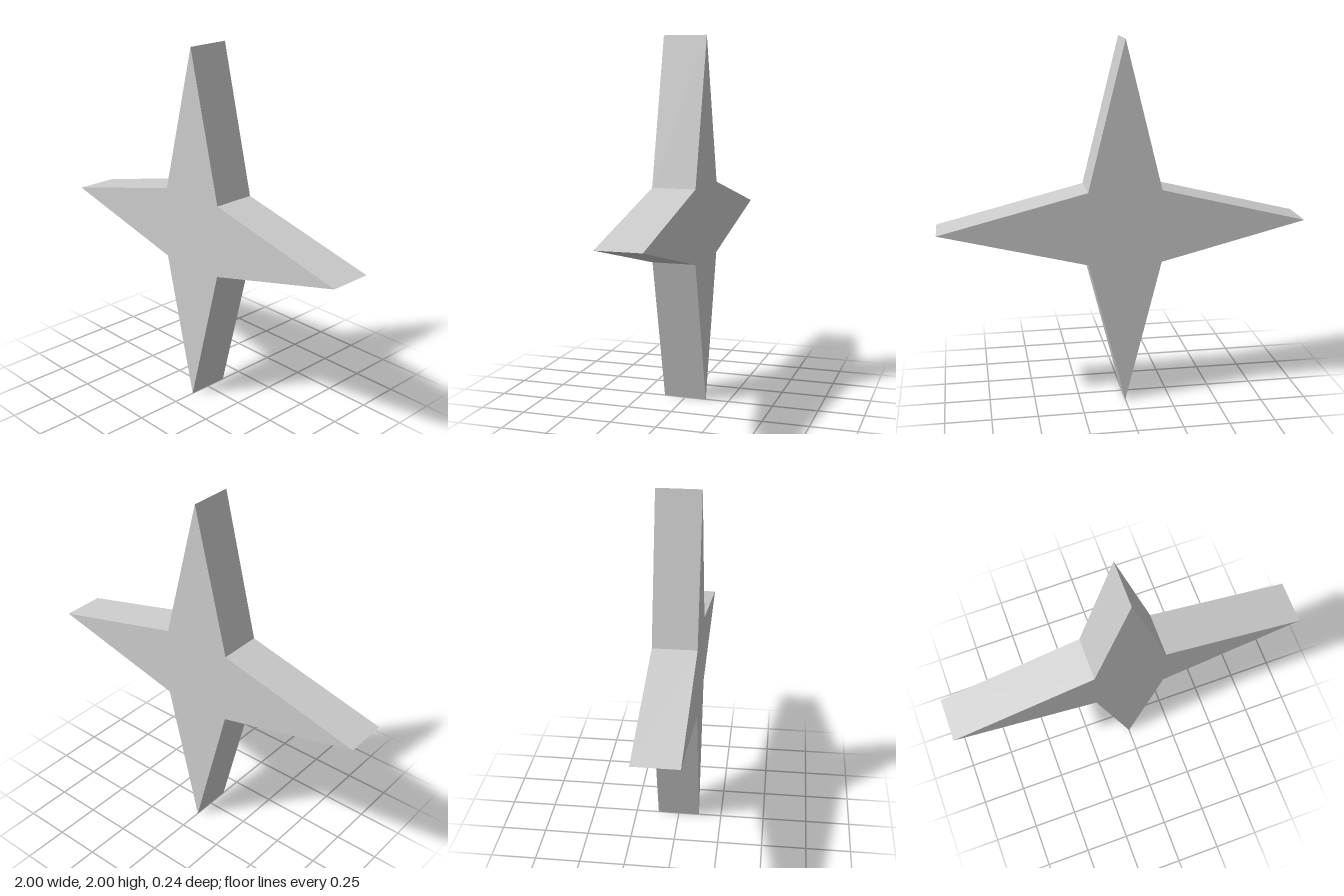
import * as THREE from 'three';

export function createModel() {
  const group = new THREE.Group();
  group.name = 'fourPointStar';

  const greyMetal = new THREE.MeshStandardMaterial({ color: 0xcccccc });
  greyMetal.name = 'light grey';

  // Star outline: long tips on the axes, inner corners on the diagonals
  const tip = 1, inner = 0.2 * Math.SQRT2, depth = 0.24;
  const points = [];
  for (let i = 0; i < 8; i++) {
    const r = i % 2 ? inner : tip;
    const a = (i * Math.PI) / 4;
    points.push(new THREE.Vector2(r * Math.cos(a), r * Math.sin(a)));
  }

  // Flat plate with sharp edges
  const geometry = new THREE.ExtrudeGeometry(new THREE.Shape(points), {
    depth, bevelEnabled: false, steps: 1,
  });
  geometry.translate(0, tip, -depth / 2);

  const star = new THREE.Mesh(geometry, greyMetal);
  star.name = 'starBody';
  group.add(star);
  return group;
}
